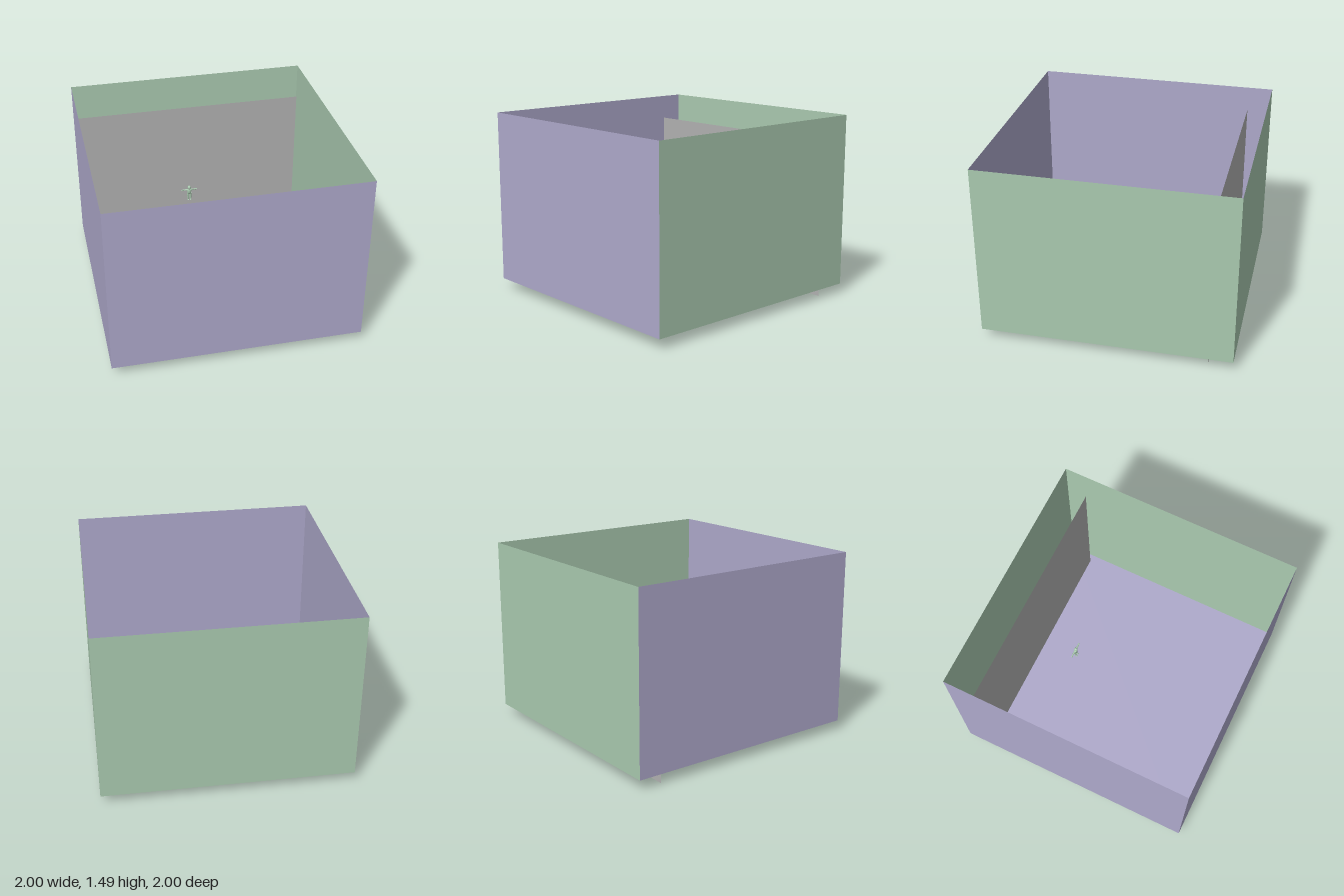
import * as THREE from 'three';

const material = (name, color) =>
  new THREE.MeshStandardMaterial({ name, color, side: THREE.DoubleSide });

export function createModel() {
  const lilac = material('lilac', 0xaea9cb);
  const green = material('sage green', 0xaacab0);
  const grey = material('grey', 0xb2b2b2);
  const model = new THREE.Group();
  model.name = 'openRoom';

  const add = (parent, name, geometry, mat, x, y, z) => {
    const mesh = new THREE.Mesh(geometry, mat);
    mesh.name = name;
    mesh.position.set(x, y, z);
    parent.add(mesh);
    return mesh;
  };

  // Room: four sheet walls and a floor, open at the top
  const floorY = 0.08, topY = 1.49;
  const wallH = topY - floorY, midY = (topY + floorY) / 2;
  const wall = new THREE.PlaneGeometry(2, wallH);
  add(model, 'frontWall', wall, lilac, 0, midY, 1);
  add(model, 'backWall', wall, green, 0, midY, -1).rotation.y = Math.PI;
  add(model, 'leftWall', wall, green, 1, midY, 0).rotation.y = Math.PI / 2;
  add(model, 'rightWall', wall, lilac, -1, midY, 0).rotation.y = -Math.PI / 2;
  add(model, 'floor', new THREE.PlaneGeometry(2, 2), lilac, 0, floorY, 0).rotation.x = -Math.PI / 2;

  // Upright panel that passes through the floor
  add(model, 'innerPanel', new THREE.PlaneGeometry(1.92, 1.29), grey, -0.02, 0.645, -0.8);

  // Small figure with outstretched arms
  const figure = new THREE.Group();
  figure.name = 'figure';
  figure.position.set(-0.11, 0.62, -0.39);
  model.add(figure);
  add(figure, 'head', new THREE.SphereGeometry(0.016, 16, 12), green, 0, 0.122, 0.003).scale.set(0.85, 1.1, 1);
  add(figure, 'neck', new THREE.CylinderGeometry(0.006, 0.007, 0.014, 10), green, 0, 0.107, 0);
  const torso = [[0, 0.06], [0.018, 0.062], [0.016, 0.078], [0.021, 0.096], [0.014, 0.104], [0, 0.107]]
    .map(([r, y]) => new THREE.Vector2(r, y));
  add(figure, 'torso', new THREE.LatheGeometry(torso, 16), green, 0, 0, 0).scale.z = 0.7;
  for (const side of [-1, 1]) {
    const arm = add(figure, 'arm', new THREE.CylinderGeometry(0.005, 0.008, 0.042, 10), green, side * 0.036, 0.098, -0.002);
    arm.rotation.z = -side * Math.PI / 2;
    add(figure, 'hand', new THREE.SphereGeometry(0.008, 10, 8), green, side * 0.062, 0.098, -0.002).scale.set(1, 0.5, 0.8);
    add(figure, 'leg', new THREE.CylinderGeometry(0.01, 0.006, 0.062, 10), green, side * 0.01, 0.035, 0);
    add(figure, 'foot', new THREE.SphereGeometry(0.008, 10, 8), green, side * 0.01, 0.004, 0.006).scale.set(0.8, 0.5, 1.7);
  }
  return model;
}
